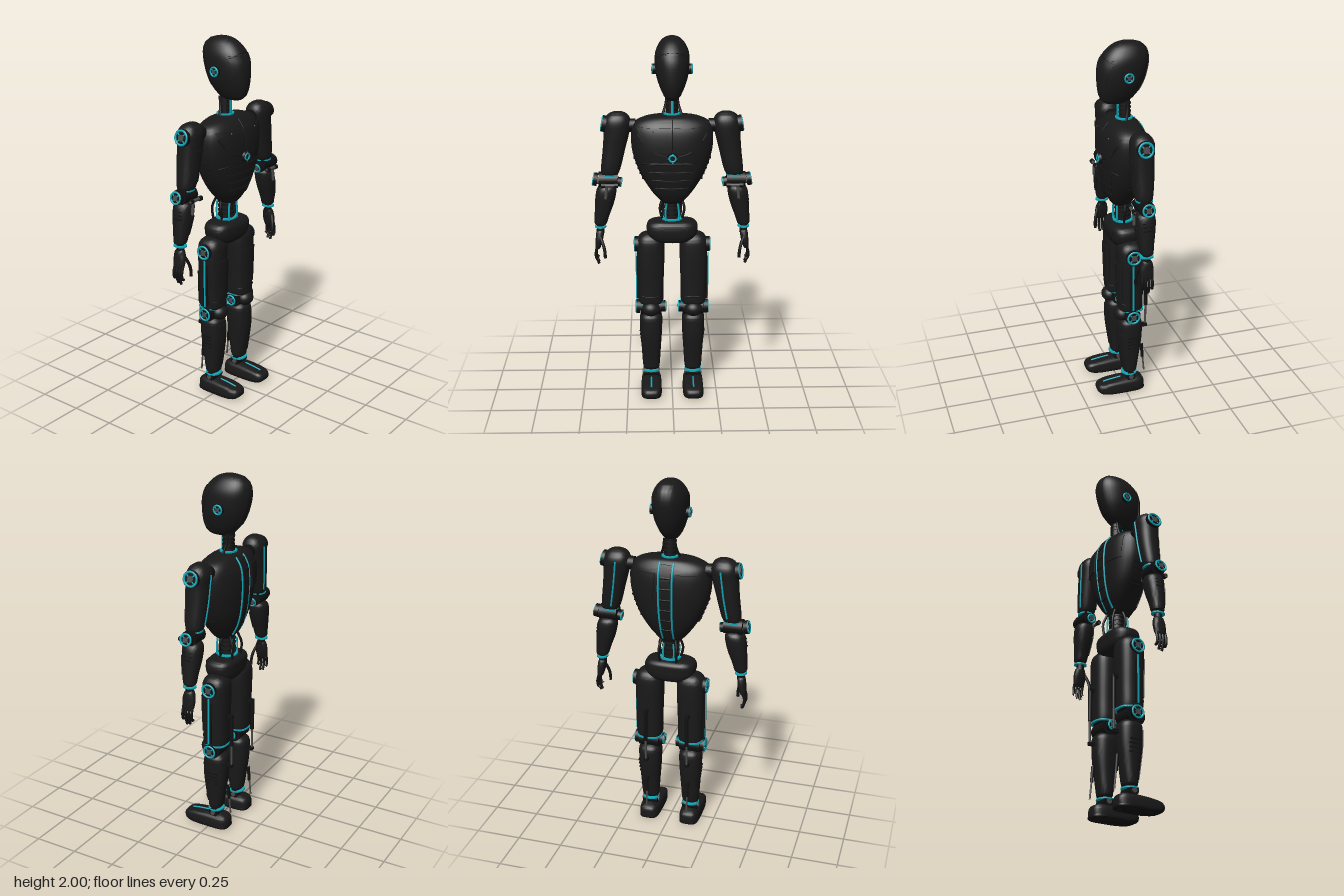
import * as THREE from 'three';
import { toCreasedNormals } from 'three/addons/utils/BufferGeometryUtils.js';

const mat = (name, color) => Object.assign(new THREE.MeshStandardMaterial({ color }), { name });
const V = (x, y, z) => new THREE.Vector3(x, y, z);

// Cross-section rows are [y, halfWidth, zFront, zBack, xCentre], bottom to top
const TORSO = [[1.105, .03, .015, -.05], [1.115, .055, .033, -.065], [1.15, .09, .055, -.085], [1.2, .128, .072, -.11],
  [1.28, .175, .087, -.13], [1.38, .21, .096, -.14], [1.46, .219, .095, -.14], [1.52, .214, .085, -.132],
  [1.555, .195, .065, -.115], [1.58, .14, .04, -.095], [1.59, .07, .01, -.07]];
const HEAD = [[1.673, .015, .045, -.035], [1.68, .03, .068, -.05], [1.7, .045, .089, -.078], [1.74, .065, .102, -.112], [1.8, .084, .107, -.14],
  [1.87, .091, .105, -.158], [1.92, .087, .087, -.16], [1.96, .069, .055, -.148], [1.985, .047, .02, -.122],
  [1.997, .024, -.015, -.085], [2, .005, -.04, -.06]];
const PELVIS = [[.885, .07, .02, -.075], [.893, .1, .04, -.095], [.92, .128, .054, -.108], [.955, .14, .058, -.11],
  [.985, .136, .055, -.11], [1.003, .115, .04, -.095], [1.01, .07, .02, -.07]];
const thighRows = x => [[.52, .05, .015, -.08, x], [.53, .066, .033, -.097, x], [.56, .07, .036, -.1, x], [.65, .071, .037, -.102, x],
  [.76, .075, .04, -.105, x], [.86, .076, .04, -.106, x], [.9, .07, .034, -.1, x], [.925, .05, .015, -.08, x], [.935, .02, -.01, -.055, x]];
const shinRows = x => [[.12, .036, .0, -.06, x], [.13, .045, .006, -.067, x], [.16, .049, .01, -.073, x], [.24, .054, .022, -.085, x],
  [.33, .06, .033, -.097, x], [.41, .063, .034, -.1, x], [.445, .06, .03, -.095, x], [.465, .04, .01, -.075, x]];
const upperArmRows = s => [[1.26, .036, .0, -.065, .338 * s], [1.27, .047, .012, -.075, .335 * s], [1.31, .054, .018, -.082, .327 * s],
  [1.4, .06, .022, -.09, .311 * s], [1.49, .068, .027, -.094, .296 * s], [1.55, .071, .027, -.096, .291 * s],
  [1.585, .056, .013, -.08, .289 * s], [1.602, .03, -.01, -.055, .288 * s], [1.606, .01, -.028, -.04, .288 * s]];
const foreArmRows = s => [[.98, .027, -.005, -.06, .39 * s], [.99, .034, .002, -.066, .389 * s], [1.03, .04, .008, -.07, .382 * s],
  [1.1, .051, .016, -.08, .367 * s], [1.16, .055, .02, -.085, .357 * s], [1.19, .05, .015, -.08, .352 * s], [1.205, .036, .0, -.065, .35 * s]];
const palmRows = s => [[.845, .012, -.005, -.058, .407 * s], [.86, .016, .003, -.064, .405 * s], [.9, .021, .006, -.066, .398 * s],
  [.935, .021, -.003, -.06, .394 * s], [.95, .016, -.012, -.05, .392 * s]];
const footRows = x => [[0, .048, .1, -.1, x], [.01, .055, .145, -.11, x], [.025, .057, .161, -.112, x], [.048, .056, .16, -.112, x],
  [.062, .053, .14, -.108, x], [.072, .046, .085, -.1, x], [.08, .032, .02, -.085, x]];

// Smooth section lookup along the rows
function sections(rows) {
  const a = new THREE.CatmullRomCurve3(rows.map(r => V(r[0], r[1], r[4] || 0)), false, 'catmullrom', .5);
  const b = new THREE.CatmullRomCurve3(rows.map(r => V(r[2], r[3], 0)), false, 'catmullrom', .5);
  const at = t => {
    const p = a.getPoint(t), q = b.getPoint(t);
    return { y: p.x, w: Math.max(p.y, .001), cx: p.z, mid: (q.x + q.y) / 2, d: Math.max((q.x - q.y) / 2, .001) };
  };
  const atY = y => {
    let lo = 0, hi = 1;
    for (let i = 0; i < 24; i++) { const m = (lo + hi) / 2; if (at(m).y < y) lo = m; else hi = m; }
    return at(lo);
  };
  return { at, atY };
}

function buildGeometry(pos, idx, crease) {
  const g = new THREE.BufferGeometry();
  g.setAttribute('position', new THREE.Float32BufferAttribute(pos, 3));
  g.setIndex(idx);
  return toCreasedNormals(g, crease);
}

// Closed body through superellipse sections
function loft(rows, p = 2.4, n = 32) {
  const { at } = sections(rows), m = (rows.length - 1) * 4, pos = [], idx = [];
  const pw = v => Math.sign(v) * Math.abs(v) ** (2 / p);
  for (let i = 0; i <= m; i++) {
    const s = at(i / m);
    for (let j = 0; j < n; j++) {
      const a = j / n * Math.PI * 2;
      pos.push(s.cx + s.w * pw(Math.cos(a)), s.y, s.mid + s.d * pw(Math.sin(a)));
    }
  }
  const lo = at(0), hi = at(1), c = (m + 1) * n;
  pos.push(lo.cx, lo.y, lo.mid, hi.cx, hi.y, hi.mid);
  for (let j = 0; j < n; j++) {
    const k = (j + 1) % n;
    for (let i = 0; i < m; i++) {
      const A = i * n + j, B = i * n + k;
      idx.push(A, A + n, B, B, A + n, B + n);
    }
    idx.push(c, j, k, c + 1, m * n + k, m * n + j);
  }
  return buildGeometry(pos, idx, .8);
}

// Point on a lofted body at (x, y); side is 1 for front, -1 for back
function onSurface(sec, x, y, side, off, p) {
  const s = sec.atY(y), f = THREE.MathUtils.clamp((x - s.cx) / s.w, -.98, .98);
  return V(s.cx + f * (s.w + off), y, s.mid + side * (s.d + off) * (1 - Math.abs(f) ** p) ** (1 / p));
}

// Raised plate that follows a lofted body; [x0, x1] at the bottom and the top
function plate(rows, side, y0, y1, bottom, top, off = .005, p = 2.4) {
  const sec = sections(rows), n = 12, pos = [], idx = [], L = THREE.MathUtils.lerp;
  const step = i => THREE.MathUtils.clamp((i - 1 + (i === 0 ? .9 : i === n ? -.9 : 0)) / (n - 2), 0, 1);
  for (let j = 0; j <= n; j++) for (let i = 0; i <= n; i++) {
    const u = step(i), v = step(j), edge = i === 0 || j === 0 || i === n || j === n;
    pos.push(...onSurface(sec, L(L(bottom[0], bottom[1], u), L(top[0], top[1], u), v), L(y0, y1, v), side, edge ? -.002 : off, p));
    if (i < n && j < n) {
      const A = j * (n + 1) + i, B = A + 1, C = A + n + 1, D = C + 1;
      idx.push(...(side > 0 ? [A, B, C, B, D, C] : [A, C, B, B, C, D]));
    }
  }
  return buildGeometry(pos, idx, .6);
}

const tube = (pts, r, seg = 16) => new THREE.TubeGeometry(new THREE.CatmullRomCurve3(pts), seg, r, 8);
// Thin line drawn over a lofted body through [x, y] points
function line(rows, side, pts, r = .0025, p = 2.4) {
  const sec = sections(rows), c = new THREE.CatmullRomCurve3(pts.map(q => V(q[0], q[1], 0)));
  return tube(c.getPoints(16).map(q => onSurface(sec, q.x, q.y, side, .001, p)), r, 40);
}

export function createModel() {
  const model = new THREE.Group();
  model.name = 'humanoidRobot';
  const shell = mat('shell black', 0x191919), joint = mat('joint black', 0x111111);
  const metal = mat('metal grey', 0x4c4c4c), glow = mat('cyan accent', 0x10a6b6);
  const add = (name, geo, m, x = 0, y = 0, z = 0, parent = model) => {
    const mesh = new THREE.Mesh(geo, m);
    mesh.name = name;
    mesh.position.set(x, y, z);
    parent.add(mesh);
    return mesh;
  };
  const cylX = (name, r, len, m, x, y, z, parent) => add(name, new THREE.CylinderGeometry(r, r, len, 24).rotateZ(Math.PI / 2), m, x, y, z, parent);
  const box = (name, w, h, d, m, x, y, z, parent) => add(name, new THREE.BoxGeometry(w, h, d), m, x, y, z, parent);
  // Flat glowing collar around a limb
  const band = (name, rx, rz, x, y, z, p = 2.1) => add(name, loft([[y - .004, rx, z + rz, z - rz, x], [y + .004, rx, z + rz, z - rz, x]], p), glow);
  // Round joint cover facing sideways (dir) with a glowing ring, tilted upwards
  const hub = (name, dir, x, y, z, r, tilt = 0) => {
    const g = new THREE.Group();
    g.name = name;
    g.position.set(x, y, z);
    g.rotation.z = dir * tilt;
    model.add(g);
    cylX(name + 'Cover', r, .022, joint, 0, 0, 0, g);
    add(name + 'Ring', new THREE.TorusGeometry(r * .84, r * .09 + .0025, 8, 28).rotateY(Math.PI / 2), glow, dir * .01, 0, 0, g);
    cylX(name + 'Core', r * .38, .032, metal, 0, 0, 0, g);
    for (let i = 0; i < 4; i++) {
      const a = (i + .5) * Math.PI / 2;
      box(name + 'Spoke', .005, .006, r * .4, glow, dir * .011, Math.sin(a) * r * .6, Math.cos(a) * r * .6, g).rotation.x = -a;
    }
  };

  // Head
  add('head', loft(HEAD, 2.2), shell);
  add('faceMask', plate(HEAD, 1, 1.7, 1.915, [-.042, .042], [-.08, .08], .003, 2.2), shell);
  add('browSeam', line(HEAD, 1, [[-.08, 1.9], [-.04, 1.922], [0, 1.928], [.04, 1.922], [.08, 1.9]], .002, 2.2), joint);
  add('crownPlate', plate(HEAD, -1, 1.74, 1.985, [-.03, .03], [-.035, .035], .004, 2.2), shell);

  // Neck
  add('neck', new THREE.CylinderGeometry(.028, .034, .13, 20), joint, 0, 1.635, -.037);
  for (let i = 0; i < 4; i++) add('neckDisc', new THREE.CylinderGeometry(.034, .034, .008, 20), shell, 0, 1.606 + i * .022, -.037);
  box('neckLight', .014, .08, .008, glow, 0, 1.63, -.001);
  band('neckRing', .046, .046, 0, 1.594, -.036);

  // Torso
  add('torso', loft(TORSO), shell);
  for (let i = 0; i < 4; i++) {
    const y = 1.165 + i * .046, w = .07 + i * .017;
    add('abdomenPlate', plate(TORSO, 1, y, y + .036, [-w, w], [-w - .017, w + .017], .005), shell);
    add('abdomenSeam', line(TORSO, 1, [[-w - .02, y + .041], [0, y + .041], [w + .02, y + .041]], .003), joint);
  }
  add('sternumSeam', line(TORSO, 1, [[0, 1.42], [0, 1.5], [0, 1.575]]), joint);
  add('chestEmblemBase', new THREE.CylinderGeometry(.026, .03, .016, 24).rotateX(Math.PI / 2), joint, 0, 1.38, .1);
  add('chestEmblemRing', new THREE.TorusGeometry(.017, .005, 8, 28), glow, 0, 1.38, .108);
  for (let i = 0; i < 4; i++) {
    const a = i * Math.PI / 2;
    box('chestEmblemTick', .007, .008, .005, glow, Math.sin(a) * .022, 1.38 + Math.cos(a) * .022, .108).rotation.z = -a;
  }
  add('spinePlate', plate(TORSO, -1, 1.14, 1.565, [-.022, .022], [-.028, .028], .006), shell);
  for (let i = 0; i < 6; i++) add('spineSeam', line(TORSO, -1, [[-.027, 1.2 + i * .06], [0, 1.2 + i * .06], [.027, 1.2 + i * .06]], .007), joint);

  // Waist and pelvis
  add('waistCore', new THREE.CylinderGeometry(.036, .042, .14, 20), joint, 0, 1.06, -.03);
  for (let i = 0; i < 4; i++) add('waistDisc', new THREE.CylinderGeometry(.046, .046, .01, 24), shell, 0, 1.03 + i * .025, -.03);
  band('waistRing', .058, .056, 0, 1.015, -.03);
  add('pelvis', loft(PELVIS, 3), shell);
  add('pelvisPlate', plate(PELVIS, 1, .91, .985, [-.055, .055], [-.09, .09], .004, 3), shell);

  for (const s of [1, -1]) {
    const X = (...v) => v.map(x => x * s).sort((a, b) => a - b);

    // Head and neck sides
    hub('ear', s, .093 * s, 1.83, -.03, .027);
    add('neckCable', tube([V(.028 * s, 1.69, -.05), V(.034 * s, 1.64, -.045), V(.055 * s, 1.575, -.03)], .007), joint);

    // Chest and back panels
    add('chestPlate', plate(TORSO, 1, 1.41, 1.535, X(.008, .13), X(.008, .185), .004), shell);
    add('chestSeam', line(TORSO, 1, [[.03 * s, 1.385], [.08 * s, 1.4], [.13 * s, 1.43], [.18 * s, 1.5]]), joint);
    add('lowerChestSeam', line(TORSO, 1, [[.02 * s, 1.35], [.1 * s, 1.35], [.17 * s, 1.34]]), joint);
    add('chestBolt', new THREE.SphereGeometry(.005, 10, 8), metal, .1 * s, 1.52, .08);
    add('bladePlate', plate(TORSO, -1, 1.39, 1.52, X(.065, .165), X(.055, .175), .006), shell);
    add('spineLight', line(TORSO, -1, [[.03 * s, 1.14], [.036 * s, 1.35], [.037 * s, 1.575]], .0055), glow);
    for (let i = 0; i < 5; i++) box('ribVent', .012, .008, .06, joint, s * (.201 - i * .011), 1.36 - i * .028, -.022);

    // Waist struts
    add('waistStrut', tube([V(.05 * s, 1.13, -.03), V(.066 * s, 1.075, -.02), V(.05 * s, 1, -.02)], .007), joint);
    add('backStrut', tube([V(.04 * s, 1.13, -.07), V(.05 * s, 1.07, -.09), V(.045 * s, 1, -.085)], .007), joint);
    add('waistLight', tube([V(.03 * s, 1.11, .013), V(.036 * s, 1.06, .014), V(.034 * s, 1.01, .014)], .0055), glow);
    add('backWaistLight', tube([V(.026 * s, 1.11, -.073), V(.03 * s, 1.06, -.075), V(.028 * s, 1.01, -.075)], .005), glow);

    // Upper arm
    cylX('shoulderAxle', .036, .06, joint, .225 * s, 1.53, -.035);
    const upper = upperArmRows(s), fore = foreArmRows(s);
    add('upperArm', loft(upper), shell);
    add('upperArmPlate', plate(upper, 1, 1.3, 1.47, X(.295, .355), X(.265, .33), .004), shell);
    add('upperArmLight', line(upper, -1, [[.318 * s, 1.29], [.3 * s, 1.4], [.282 * s, 1.55]], .005), glow);
    hub('shoulderHub', s, .361 * s, 1.54, -.03, .044, .18);

    // Elbow and forearm
    cylX('elbowJoint', .042, .1, joint, .345 * s, 1.233, -.03);
    hub('elbowHub', s, .413 * s, 1.235, -.03, .036, .18);
    hub('innerElbowHub', -s, .285 * s, 1.22, -.03, .026, -.18);
    cylX('elbowAxle', .016, .155, metal, .347 * s, 1.225, -.03);
    cylX('elbowPin', .009, .09, metal, .335 * s, 1.215, .03);
    for (const x of [.3, .37]) cylX('elbowPinCap', .013, .02, joint, x * s, 1.215, .03);
    band('elbowRing', .046, .045, .338 * s, 1.262, -.032);
    add('foreArm', loft(fore), shell);
    add('foreArmPlate', plate(fore, 1, 1.03, 1.13, X(.362, .4), X(.335, .39), .005), shell);
    add('foreArmPiston', tube([V(.35 * s, 1.21, .025), V(.358 * s, 1.14, .026)], .008), metal);
    for (let i = 0; i < 3; i++) box('foreArmVent', .008, .006, .05, joint, s * (.413 - i * .003), 1.12 + i * .02, -.03);

    // Hand
    band('wristRing', .031, .037, .391 * s, .969, -.031);
    add('wrist', new THREE.CylinderGeometry(.02, .022, .06, 16), joint, .391 * s, .962, -.031);
    add('palm', loft(palmRows(s), 2.6, 20), shell);
    for (let i = 0; i < 4; i++) {
      const z = -.002 - i * .018, tip = [.785, .757, .762, .785][i];
      add('finger', tube([V(.406 * s, .865, z), V(.418 * s, .82, z), V(.413 * s, .79, z), V(.402 * s, tip, z)], .0075), joint);
    }
    add('thumb', tube([V(.392 * s, .915, -.005), V(.375 * s, .87, .012), V(.368 * s, .835, .018), V(.366 * s, .8, .018)], .0085), joint);

    // Thigh
    const lx = .118 * s, thigh = thighRows(lx), shin = shinRows(lx);
    add('thigh', loft(thigh, 2.6), shell);
    add('thighPlate', plate(thigh, 1, .6, .81, X(.07, .166), X(.062, .174), .005, 2.6), shell);
    add('thighSeam', line(thigh, 1, [[.055 * s, .575], [lx, .575], [.18 * s, .575]], .0025, 2.6), joint);
    cylX('hipAxle', .04, .08, joint, .09 * s, .9, -.03);
    hub('hipHub', s, .194 * s, .865, -.03, .042);
    box('thighRail', .01, .24, .03, joint, .191 * s, .67, -.027);
    box('thighLight', .006, .27, .009, glow, .1985 * s, .68, -.027);
    band('thighRing', .071, .064, lx, .528, -.04, 2.6);

    // Knee
    cylX('kneeJoint', .046, .115, joint, lx, .495, -.032);
    add('kneeCap', new THREE.SphereGeometry(1, 24, 16).scale(.05, .042, .045), shell, lx, .497, .012);
    hub('kneeHub', s, .188 * s, .497, -.03, .039);
    hub('innerKneeHub', -s, .048 * s, .497, -.03, .032);
    cylX('kneeAxle', .014, .165, metal, lx, .497, -.03);

    // Shin
    add('shin', loft(shin, 2.5), shell);
    add('shinPlate', plate(shin, 1, .16, .42, X(.088, .148), X(.078, .158), .004, 2.5), shell);
    for (let i = 0; i < 4; i++) box('shinVent', .008, .007, .06, joint, s * (.171 + i * .0025), .29 + i * .022, -.035);

    // Leg pistons
    add('kneePistonSleeve', new THREE.CylinderGeometry(.011, .011, .18, 14), joint, lx, .615, -.125);
    add('kneePistonRod', new THREE.CylinderGeometry(.006, .006, .14, 10), metal, lx, .465, -.125);
    for (const y of [.7, .4]) box('pistonMount', .022, .018, .04, joint, lx, y, -.112);
    add('anklePistonSleeve', tube([V(lx, .28, -.103), V(lx, .19, -.11)], .009), joint);
    add('anklePistonRod', tube([V(lx, .2, -.11), V(lx, .1, -.12)], .005), metal);

    // Ankle and foot
    cylX('ankleJoint', .027, .085, joint, lx, .095, -.03);
    cylX('ankleAxle', .013, .1, metal, lx, .095, -.03);
    band('ankleRing', .048, .044, lx, .112, -.03);
    add('foot', loft(footRows(lx), 4), shell);
    add('sole', loft([[0, .05, .1, -.104, lx], [.006, .057, .14, -.113, lx], [.014, .058, .154, -.114, lx], [.02, .057, .16, -.113, lx]], 4), joint);
    add('footLight', tube([V(lx, .081, .02), V(lx, .074, .085), V(lx, .067, .125)], .0045), glow);
  }
  return model;
}
